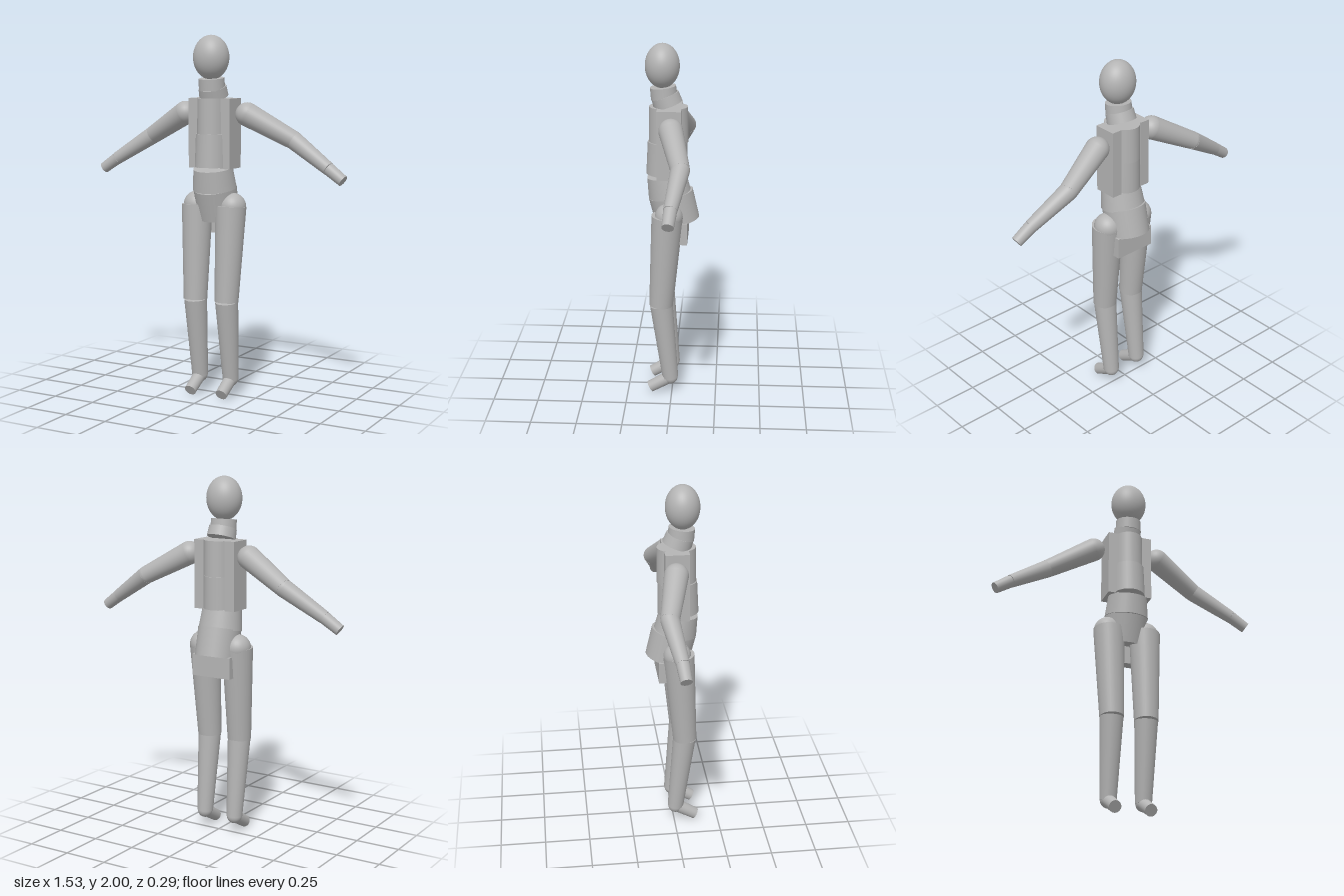
import * as THREE from 'three';

export function createModel() {
  const model = new THREE.Group();
  const grey = new THREE.MeshStandardMaterial({ color: 0xb4b4b4 });
  grey.name = 'plain grey';
  const DOWN = new THREE.Vector3(0, -1, 0);

  const add = (name, geometry) => {
    const mesh = new THREE.Mesh(geometry, grey);
    mesh.name = name;
    model.add(mesh);
    return mesh;
  };

  // Tapered segment from point a to point b; widen stretches it along x.
  function segment(name, a, b, ra, rb, widen = 1) {
    const from = new THREE.Vector3(...a), to = new THREE.Vector3(...b);
    const dir = to.clone().sub(from);
    const geometry = new THREE.CylinderGeometry(ra, rb, dir.length(), 32);
    geometry.scale(widen, 1, 1);
    const mesh = add(name, geometry);
    mesh.quaternion.setFromUnitVectors(DOWN, dir.normalize());
    mesh.position.copy(from).add(to).multiplyScalar(0.5);
  }

  function ball(name, p, r) {
    add(name, new THREE.SphereGeometry(r, 32, 20)).position.set(...p);
  }

  function block(name, size, p) {
    add(name, new THREE.BoxGeometry(...size)).position.set(...p);
  }

  // Head and neck
  const head = add('head', new THREE.SphereGeometry(1, 40, 28));
  head.scale.set(0.1, 0.12, 0.093);
  head.position.set(0, 1.88, 0.055);
  segment('upperNeck', [0, 1.768, 0.052], [0, 1.705, 0.045], 0.07, 0.072);
  segment('lowerNeck', [0, 1.72, 0.042], [0, 1.668, 0.024], 0.076, 0.08);

  // Trunk, stacked from the chest down
  segment('upperChest', [0, 1.66, 0.022], [0, 1.465, 0.022], 0.105, 0.107, 0.82);
  segment('lowerChest', [0, 1.465, 0.028], [0, 1.285, 0.032], 0.107, 0.112, 0.87);
  segment('waist', [0, 1.28, 0.035], [0, 1.165, 0.015], 0.106, 0.118, 1.03);
  segment('pelvis', [0, 1.17, 0.01], [0, 1.013, -0.028], 0.124, 0.122, 0.95);
  block('seatBlock', [0.24, 0.12, 0.06], [0, 0.97, -0.055]);

  for (const [side, s] of [['left', 1], ['right', -1]]) {
    // Flat plate at the side of the ribs
    block(side + 'RibPlate', [0.06, 0.38, 0.13], [s * 0.097, 1.47, 0.015]);

    // Arm, swept back to the elbow and forward to the hand
    const shoulder = [s * 0.192, 1.575, 0], elbow = [s * 0.44, 1.44, -0.062];
    const wrist = [s * 0.66, 1.3, -0.024], fingertips = [s * 0.747, 1.24, -0.016];
    ball(side + 'Shoulder', shoulder, 0.065);
    segment(side + 'UpperArm', shoulder, elbow, 0.065, 0.05);
    ball(side + 'Elbow', elbow, 0.049);
    segment(side + 'Forearm', elbow, wrist, 0.05, 0.036);
    segment(side + 'Hand', wrist, fingertips, 0.035, 0.031);

    // Leg
    const ankle = [s * 0.098, 0.098, 0.008];
    ball(side + 'Hip', [s * 0.11, 1.07, 0.015], 0.076);
    segment(side + 'Thigh', [s * 0.105, 1.073, 0.024], [s * 0.098, 0.545, 0.06], 0.086, 0.066);
    segment(side + 'Shin', [s * 0.098, 0.545, 0.058], ankle, 0.064, 0.045);
    ball(side + 'Ankle', ankle, 0.042);
    segment(side + 'Foot', ankle, [s * 0.098, 0.032, 0.122], 0.036, 0.033);
  }
  return model;
}
